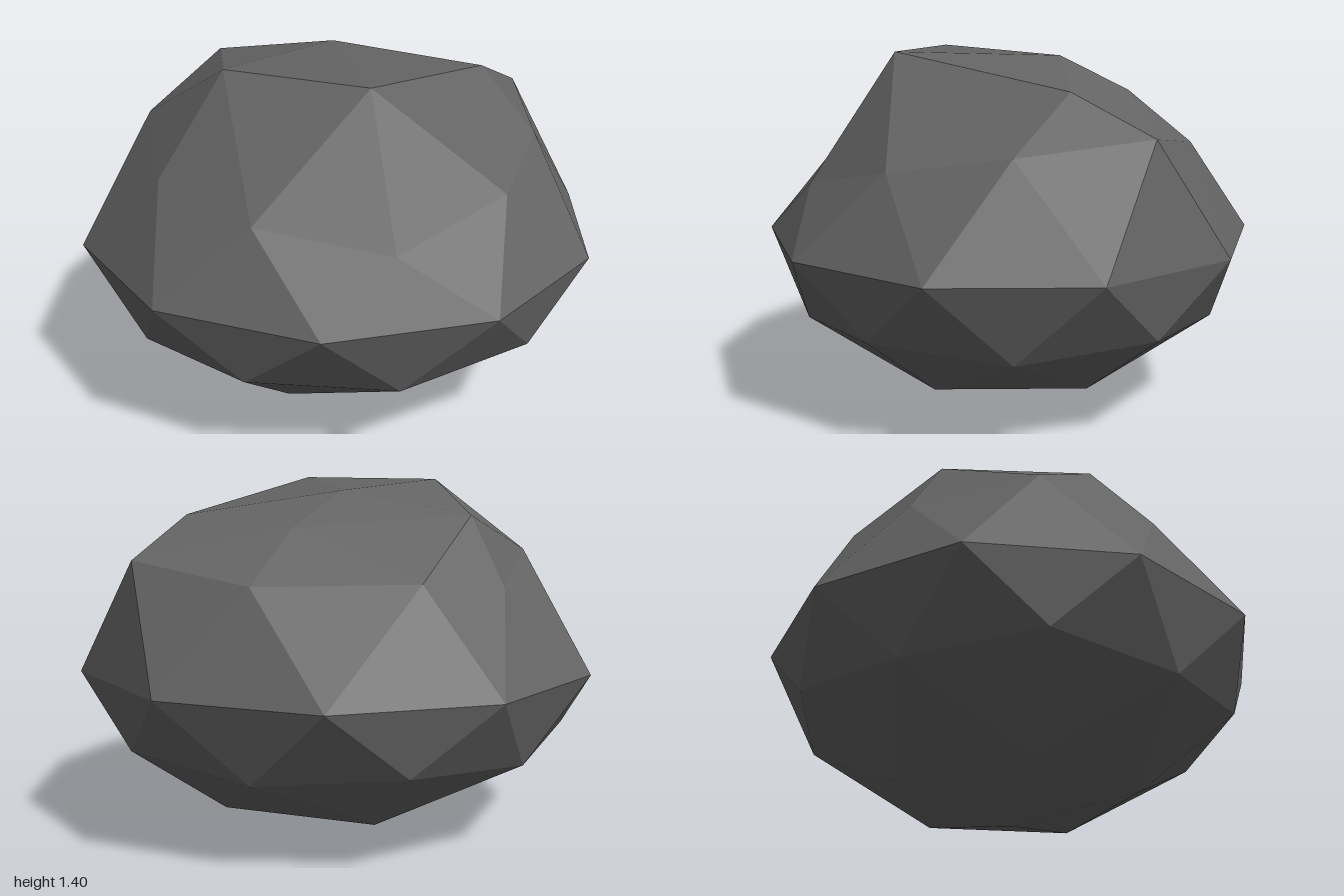
import * as THREE from 'three';

export function createModel() {
  const group = new THREE.Group();
  group.name = 'rock';
  const stone = new THREE.MeshStandardMaterial({ color: 0x646464, flatShading: true });
  stone.name = 'stone grey';

  // Regular ring of points; start and step in degrees, elliptical footprint
  const ring = (count, start, radius, height) =>
    Array.from({ length: count }, (_, i) => {
      const a = THREE.MathUtils.degToRad(start + (i * 360) / count);
      const r = radius(i);
      return [1.051 * r * Math.cos(a), height(i), 0.99 * r * Math.sin(a)];
    });

  // Chipped upper half: peak, five crown points, ten shoulder points
  const peak = [-0.03, 1.375, -0.21];
  const crown = [
    [0.58, 1.28, -0.21], [0.145, 1.4, 0.45], [-0.41, 1.4, 0.27],
    [-0.52, 1.29, -0.35], [0.145, 1.25, -0.47],
  ];
  const shoulder = [
    [0.79, 1.07, 0], [0.65, 1.0, 0.45], [0.25, 0.9, 0.78], [-0.26, 0.98, 0.74], [-0.64, 1.03, 0.46],
    [-0.76, 1.13, 0], [-0.64, 1.03, -0.47], [-0.33, 1.07, -0.68], [0.28, 1.06, -0.7], [0.74, 1.13, -0.5],
  ];

  // Regular lower half
  const waist = ring(10, 18, () => 1, () => 0.67);
  const belly = ring(10, 0, (i) => (i % 2 ? 0.894 : 0.851), (i) => (i % 2 ? 0.405 : 0.36));
  const base = ring(5, 36, () => 0.51, () => 0.11);
  const foot = [0, 0, 0];

  // One half of the rock: pole, inner ring of 5, outer ring of 10, then the waist
  function half(name, pole, inner, outer, shift, flip) {
    const pos = [];
    const tri = (a, b, c) => pos.push(...a, ...(flip ? c : b), ...(flip ? b : c));
    const I = (i) => inner[i % 5];
    const O = (j) => outer[(j + shift) % 10];
    for (let i = 0; i < 5; i++) {
      const j = 2 * i;
      tri(pole, I(i + 1), I(i));
      tri(I(i), O(j + 1), O(j));
      tri(I(i), I(i + 1), O(j + 1));
      tri(I(i + 1), O(j + 2), O(j + 1));
    }
    for (let j = 0; j < 10; j++) {
      const k = (j + 1) % 10;
      tri(outer[j], outer[k], waist[j]);
      tri(outer[k], waist[k], waist[j]);
    }
    const geo = new THREE.BufferGeometry();
    geo.setAttribute('position', new THREE.Float32BufferAttribute(pos, 3));
    geo.computeVertexNormals();
    const mesh = new THREE.Mesh(geo, stone);
    mesh.name = name;
    group.add(mesh);
  }

  half('upperRock', peak, crown, shoulder, 0, false);
  half('lowerRock', foot, base, belly, 1, true);
  return group;
}
